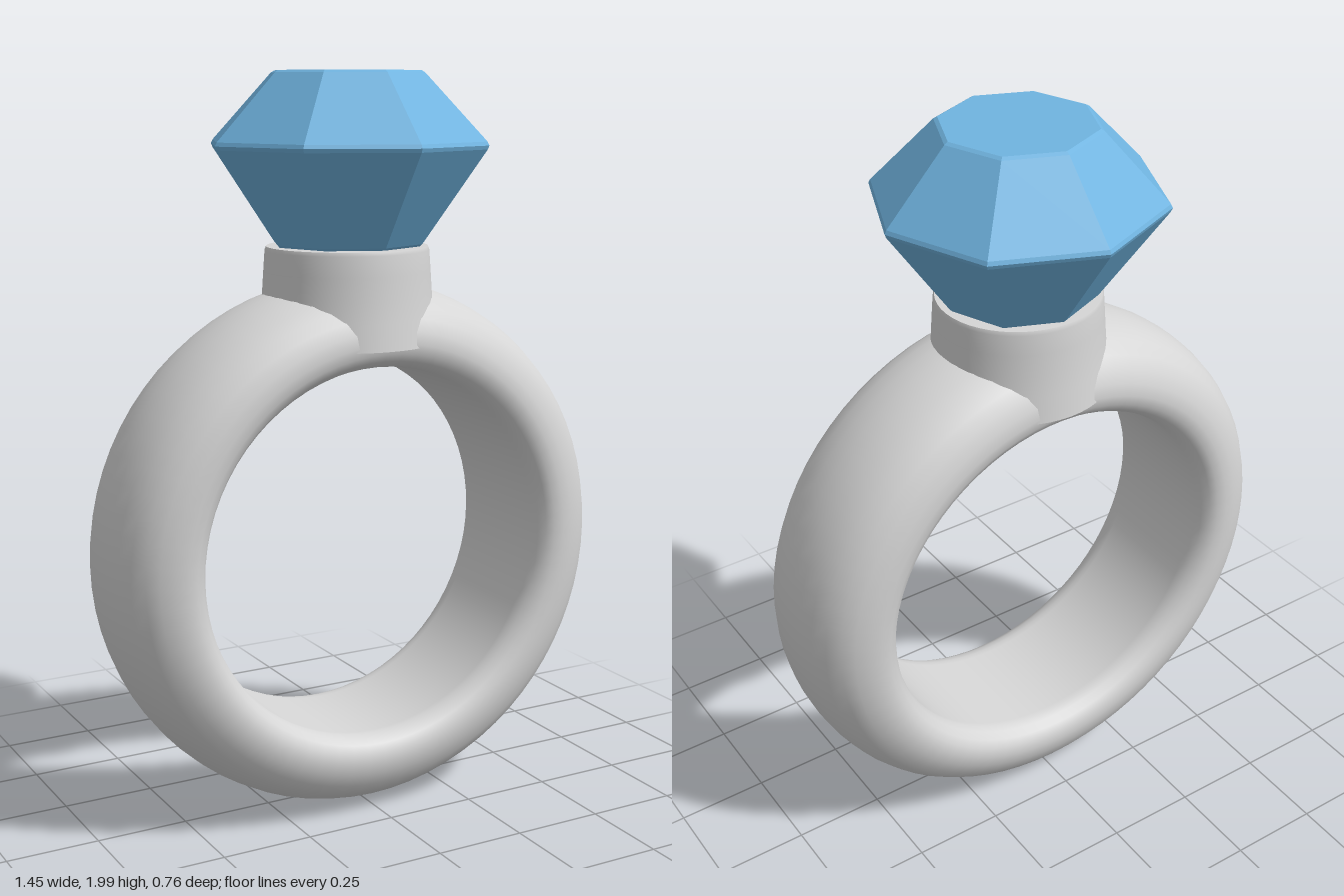
import * as THREE from 'three';

const pts = (list) => list.map(([r, y]) => new THREE.Vector2(r, y));

export function createModel() {
  const group = new THREE.Group();
  const metal = new THREE.MeshStandardMaterial({ color: 0xd6d6d6 });
  metal.name = 'silver';
  const blue = new THREE.MeshStandardMaterial({ color: 0x70b4e0, flatShading: true });
  blue.name = 'gem blue';

  const add = (name, geometry, material) => {
    const mesh = new THREE.Mesh(geometry, material);
    mesh.name = name;
    group.add(mesh);
    return mesh;
  };

  // Band: flat inner wall, softly rounded rims and a domed outside
  const half = [
    [0.505, 0.165], [0.511, 0.185], [0.525, 0.205], [0.545, 0.217], [0.572, 0.222],
    [0.605, 0.216], [0.64, 0.201], [0.67, 0.178], [0.695, 0.143], [0.712, 0.1], [0.722, 0.05],
  ];
  const lower = half.map(([r, y]) => [r, -y]);
  const upper = half.slice().reverse();
  const profile = [[0.505, 0], [0.505, -0.15], ...lower, [0.725, 0], ...upper, [0.505, 0.15], [0.505, 0]];
  const band = add('band', new THREE.LatheGeometry(pts(profile), 72), metal);
  band.rotation.x = Math.PI / 2;
  band.position.y = 0.735;

  // Setting: short flared collar, sunk into the band
  const collar = add('setting', new THREE.LatheGeometry(pts([
    [0.246, 1.29], [0.236, 1.36], [0.229, 1.42], [0.225, 1.48], [0.221, 1.535], [0.217, 1.545],
  ]), 48), metal);
  collar.scale.z = 0.97;
  const cap = add('settingTop', new THREE.CircleGeometry(0.217, 48), metal);
  cap.rotation.x = -Math.PI / 2;
  cap.scale.y = 0.97;
  cap.position.y = 1.545;

  // Gem: eight sides, with a thin girdle between crown and pavilion
  add('gem', new THREE.LatheGeometry(pts([
    [0, 1.547], [0.2, 1.547], [0.206, 1.553], [0.377, 1.8], [0.381, 1.81], [0.376, 1.82],
    [0.21, 1.994], [0.2, 2], [0, 2],
  ]), 8), blue);

  return group;
}
